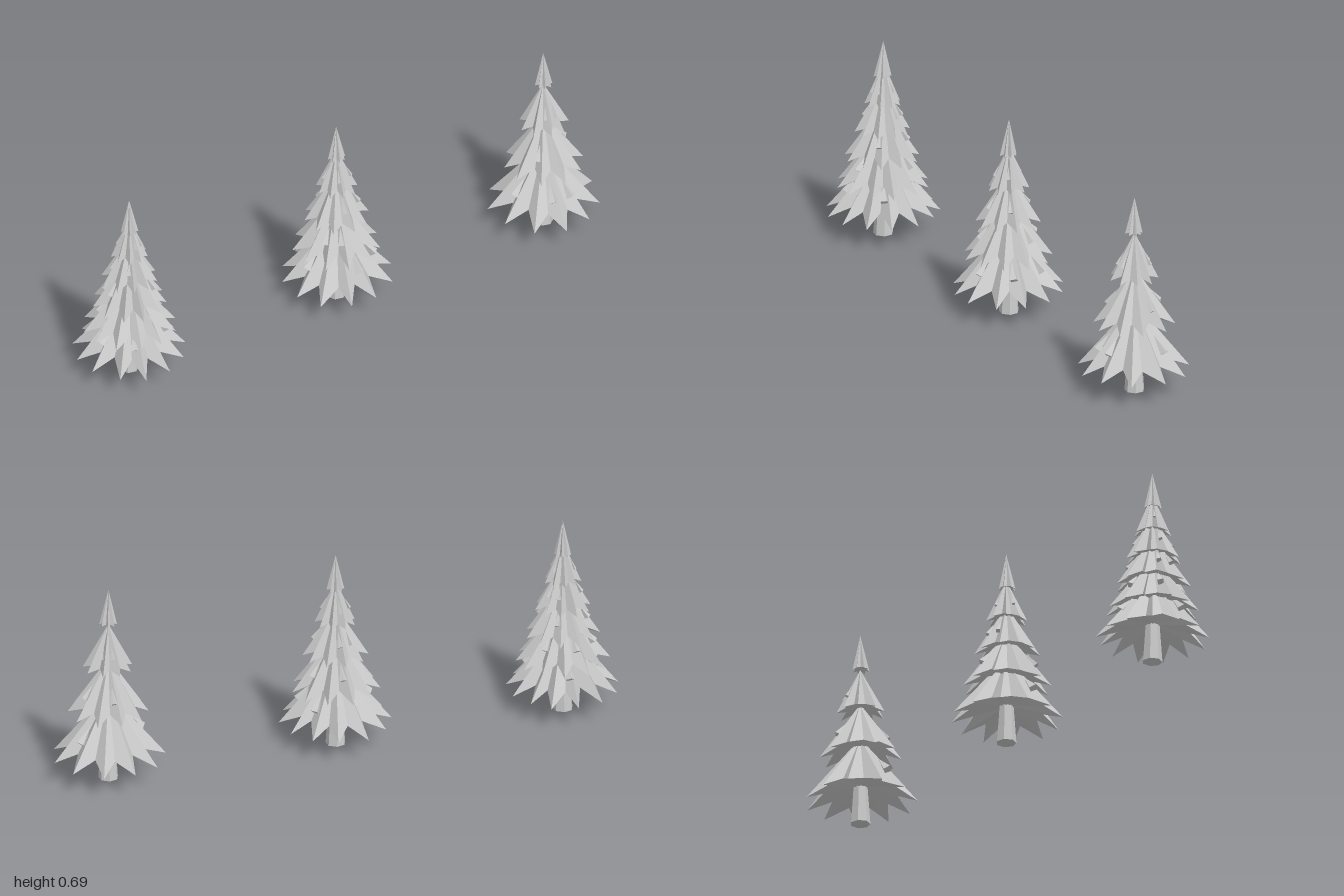
import * as THREE from 'three';

const material = new THREE.MeshStandardMaterial({ color: 0xcccccc, flatShading: true });

// Small seeded generator for natural irregularity
function seeded(seed) {
  let s = seed;
  return () => (s = (s * 16807) % 2147483647) / 2147483647;
}

// Pleated skirt: ridges run from the apex to low outer tips, valleys to higher inner notches
function skirtGeometry(points, radius, height, y, startAngle, rand) {
  const apex = [0, y + height, -0.003];
  const core = [0, y + radius * 0.3, 0];
  const rim = [];
  for (let i = 0; i < points * 2; i++) {
    const isTip = i % 2 === 0;
    const a = startAngle + (i / points) * Math.PI + (rand() - 0.5) * 0.08;
    const r = radius * (isTip ? 0.98 + rand() * 0.04 : 0.6 + rand() * 0.08);
    const lift = radius * (isTip ? rand() * 0.03 : 0.18 + rand() * 0.05);
    rim.push([Math.cos(a) * r, y + lift, Math.sin(a) * r]);
  }
  const pos = [];
  rim.forEach((p, i) => {
    const q = rim[(i + 1) % rim.length];
    pos.push(...apex, ...q, ...p); // upper side
    pos.push(...core, ...p, ...q); // underside
  });
  const geo = new THREE.BufferGeometry();
  geo.setAttribute('position', new THREE.Float32BufferAttribute(pos, 3));
  geo.computeVertexNormals();
  return geo;
}

// Short sprig lying on the slope of a skirt
function makeSprig(radius, height, y, angle) {
  const length = height * 0.3;
  const sprig = new THREE.Mesh(new THREE.ConeGeometry(radius * 0.09, length, 4), material);
  sprig.name = 'sprig';
  const t = 0.54; // fraction of the way out along the ridge
  sprig.position.set(Math.cos(angle) * radius * t, y + height * (1 - t), Math.sin(angle) * radius * t);
  const up = new THREE.Vector3(-Math.cos(angle) * radius, height, -Math.sin(angle) * radius).normalize();
  sprig.quaternion.setFromUnitVectors(new THREE.Vector3(0, 1, 0), up);
  return sprig;
}

function makeTree(name, tiers, points, startAngle, seed) {
  const rand = seeded(seed);
  const tree = new THREE.Group();
  tree.name = name;

  // Tapered seven-sided trunk
  const trunk = new THREE.Mesh(new THREE.CylinderGeometry(0.02, 0.034, 0.2, 7), material);
  trunk.name = 'trunk';
  trunk.position.set(0, 0.1, -0.003);
  trunk.rotation.y = 0.25;
  tree.add(trunk);

  // Skirts shrink evenly towards the top
  for (let i = 0; i < tiers; i++) {
    const rise = (0.485 * i) / (tiers - 1);
    const y = 0.08 + rise;
    const radius = 0.19 - rise * 0.33;
    const height = 0.235 - rise * 0.22;
    const isCap = i === tiers - 1;
    const count = isCap ? 8 : points - i;
    const start = startAngle + i * 0.9;
    const skirt = new THREE.Mesh(skirtGeometry(count, radius, height, y, start, rand), material);
    skirt.name = isCap ? 'treeTop' : 'branchTier';
    tree.add(skirt);
    if (!isCap) {
      for (let k = 0; k < 4; k++) {
        const tip = Math.floor(((k + rand()) / 4) * count);
        tree.add(makeSprig(radius, height, y, start + ((tip + 0.25) / count) * Math.PI * 2));
      }
    }
  }
  return tree;
}

export function createModel() {
  const group = new THREE.Group();
  group.name = 'firTrees';
  const deg = Math.PI / 180;
  const specs = [
    ['denseTree', -0.805, 6, 13, -6 * deg, 11],
    ['middleTree', 0, 5, 12, -15 * deg, 23],
    ['sparseTree', 0.805, 4, 11, 0, 37],
  ];
  for (const [name, x, tiers, points, start, seed] of specs) {
    const tree = makeTree(name, tiers, points, start, seed);
    tree.position.x = x;
    group.add(tree);
  }
  return group;
}
